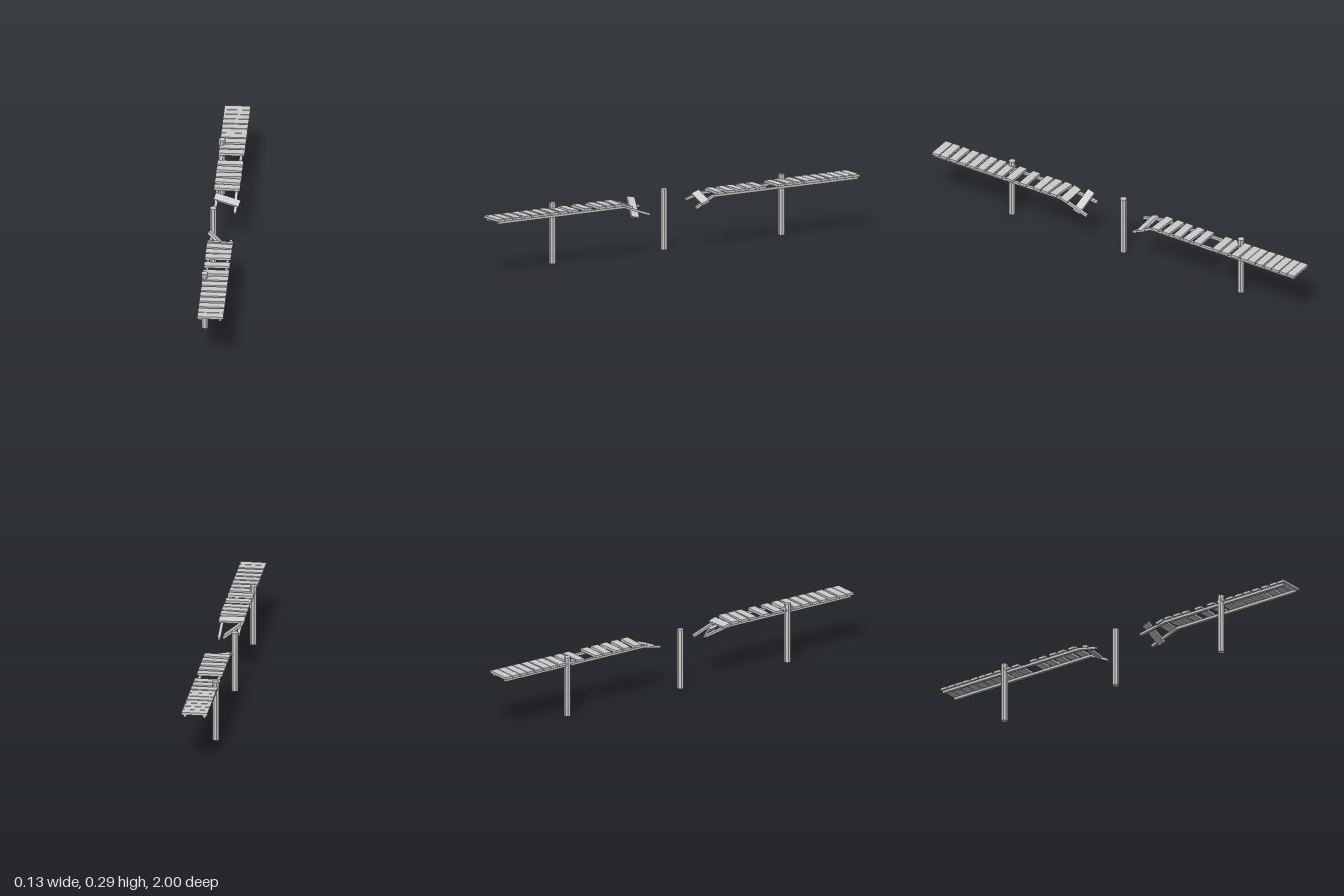
import * as THREE from 'three';

const material = new THREE.MeshStandardMaterial({ color: 0xcccccc, flatShading: true });
const PLANK = [0.122, 0.012, 0.039];
const RAIL_Y = 0.249;
const PLANK_Y = 0.261;

function add(parent, name, geometry, position, rotation = [0, 0, 0]) {
  const mesh = new THREE.Mesh(geometry, material);
  mesh.name = name;
  mesh.position.set(...position);
  mesh.rotation.set(...rotation);
  parent.add(mesh);
  return mesh;
}

// Square timber running between two points
function beam(parent, name, from, to) {
  const a = new THREE.Vector3(...from), b = new THREE.Vector3(...to);
  const mid = a.clone().add(b).multiplyScalar(0.5);
  const mesh = add(parent, name, new THREE.BoxGeometry(0.014, 0.012, a.distanceTo(b)), mid.toArray());
  mesh.lookAt(b);
}

// One half of the bridge: two rails that snap downward, and the planks on top
function span(parent, name, { end, bend, tip, tipY, planks, loose }) {
  const group = new THREE.Group();
  group.name = name;
  [-0.048, 0.043].forEach((x, i) => {
    beam(group, 'rail', [x, RAIL_Y, end], [x, RAIL_Y, bend]);
    beam(group, 'brokenRail', [x, RAIL_Y, bend], [x, tipY[i], tip]);
  });
  for (const [z, yaw = 0] of planks) {
    add(group, 'plank', new THREE.BoxGeometry(...PLANK), [-0.002, PLANK_Y, z], [0, yaw, 0]);
  }
  for (const [position, rotation] of loose) {
    add(group, 'loosePlank', new THREE.BoxGeometry(...PLANK), position, rotation);
  }
  parent.add(group);
}

export function createModel() {
  const model = new THREE.Group();
  model.name = 'brokenBridge';

  // Posts along one side
  for (const z of [0.627, 0.012, -0.637]) {
    const geometry = new THREE.CylinderGeometry(0.0165, 0.0165, 0.291, 8);
    add(model, 'post', geometry, [-0.052, 0.1455, z], [0, Math.PI / 8, 0]);
  }

  span(model, 'frontSpan', {
    end: 0.99, bend: 0.295, tip: 0.153, tipY: [0.224, 0.199],
    planks: [[0.98], [0.937], [0.885], [0.832], [0.782], [0.732], [0.681], [0.631],
      [0.572], [0.498], [0.422], [0.376, -0.04], [0.325, -0.09]],
    loose: [
      [[-0.002, 0.252, 0.273], [-0.3, 0, -0.04]],
      [[-0.016, 0.227, 0.207], [-0.2, -0.15, -0.75]],
    ],
  });

  span(model, 'backSpan', {
    end: -0.995, bend: -0.2, tip: -0.103, tipY: [0.228, 0.2],
    planks: [[-0.981], [-0.939], [-0.896], [-0.853], [-0.806], [-0.761], [-0.72], [-0.671],
      [-0.616], [-0.567], [-0.463], [-0.408, -0.06], [-0.35, 0.03], [-0.295, -0.07], [-0.235, -0.05]],
    loose: [[[0.002, 0.238, -0.156], [0.4, -0.22, -0.16]]],
  });

  return model;
}
